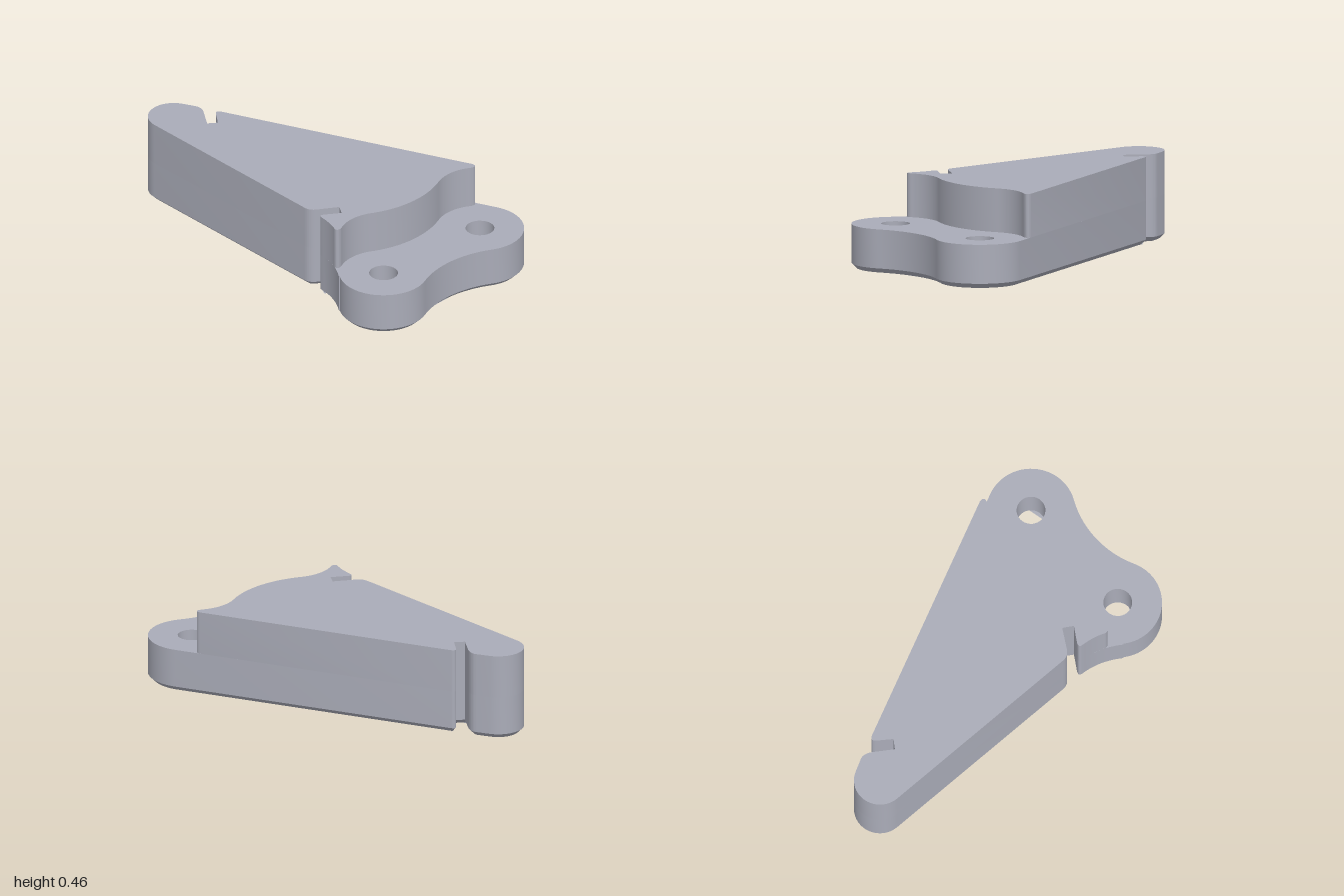
import * as THREE from 'three';
import { toCreasedNormals } from 'three/addons/utils/BufferGeometryUtils.js';

const STEP = 0.23, TOP = 0.46, CHAMFER = 0.025;
const LOBE_X = 0.34, LOBE_Z = 0.767, LOBE_R = 0.23;
const WAIST_R = 0.5325, WAIST_OFFSET = 0.6825;
const rad = THREE.MathUtils.degToRad;

// Shapes are drawn in plan as (x, -z), counter-clockwise.
// Slanted side, notched tip, long side and second notch, shared by both levels
function traceArm(s) {
  s.lineTo(-0.106, 0.73);
  s.quadraticCurveTo(-0.122, 0.762, -0.143, 0.735);
  s.lineTo(-0.196, 0.661);
  s.lineTo(-0.243, 0.693);
  s.lineTo(-0.185, 0.78);
  s.quadraticCurveTo(-0.148, 0.83, -0.168, 0.865);
  s.absarc(-0.32, 0.865, 0.135, rad(28), Math.PI, false);
  s.lineTo(-0.455, -0.285);
  s.quadraticCurveTo(-0.455, -0.325, -0.418, -0.344);
  s.lineTo(-0.317, -0.402);
  s.lineTo(-0.349, -0.455);
  s.lineTo(-0.43, -0.405);
  s.quadraticCurveTo(-0.455, -0.392, -0.457, -0.42);
}

// Drop nearly coincident points, including the closing one
function clean(points) {
  const out = [];
  for (const p of points) {
    if (!out.length || p.distanceTo(out[out.length - 1]) > 0.004) out.push(p);
  }
  while (out[0].distanceTo(out[out.length - 1]) < 0.004) out.pop();
  return out;
}

function baseContour() {
  const s = new THREE.Shape();
  s.moveTo(-0.534, -0.635);
  s.absarc(-LOBE_X, -LOBE_Z, LOBE_R, rad(146), rad(296.5), false);
  s.absarc(0, -LOBE_Z - WAIST_OFFSET, WAIST_R, rad(116.5), rad(63.5), true);
  s.absarc(LOBE_X, -LOBE_Z, LOBE_R, rad(243.5), rad(384.8), false);
  traceArm(s);
  s.quadraticCurveTo(-0.462, -0.53, -0.534, -0.635);
  return clean(s.getPoints(12));
}

function upperContour() {
  const s = new THREE.Shape();
  s.moveTo(-0.488, -0.553);
  s.quadraticCurveTo(-0.488, -0.58, -0.455, -0.568);
  s.absarc(-LOBE_X, -LOBE_Z, LOBE_R, rad(120), rad(63.5), true);
  s.absarc(0, -LOBE_Z + WAIST_OFFSET, WAIST_R, rad(243.5), rad(296.5), false);
  s.absarc(LOBE_X, -LOBE_Z, LOBE_R, rad(116.5), rad(60), true);
  s.quadraticCurveTo(0.5, -0.585, 0.49, -0.545);
  traceArm(s);
  s.quadraticCurveTo(-0.463, -0.5, -0.488, -0.553);
  return clean(s.getPoints(12));
}

// Clockwise bolt hole
function holeContour(x) {
  const p = new THREE.Path();
  p.absarc(x, -LOBE_Z, 0.075, 0, Math.PI * 2, true);
  return clean(p.getPoints(16));
}

// Upright slab between two heights
function slab(contour, holes, y0, y1) {
  const shape = new THREE.Shape(contour);
  shape.holes = holes.map((h) => new THREE.Path(h));
  const g = new THREE.ExtrudeGeometry(shape, { depth: y1 - y0, bevelEnabled: false });
  g.rotateX(-Math.PI / 2).translate(0, y0, 0);
  return toCreasedNormals(g, 0.5);
}

// Move a loop toward the material, which lies on its left
function inset(loop, d) {
  const n = loop.length;
  const normal = (a, b) => new THREE.Vector2(a.y - b.y, b.x - a.x).normalize();
  return loop.map((p, i) => {
    const n1 = normal(loop[(i + n - 1) % n], p);
    const n2 = normal(p, loop[(i + 1) % n]);
    const k = d / Math.max(0.4, 1 + n1.dot(n2));
    return p.clone().addScaledVector(n1.add(n2), k);
  });
}

// Sloped band around every lower edge, with the underside
function chamferedFoot(contour, holes) {
  const loops = [contour, ...holes];
  const pos = [];
  const add = (p, y) => pos.push(p.x, y, -p.y);
  const bottom = [];
  for (const loop of loops) {
    const low = inset(loop, CHAMFER);
    bottom.push(...low);
    loop.forEach((p, i) => {
      const j = (i + 1) % loop.length;
      add(low[i], 0); add(low[j], 0); add(loop[j], CHAMFER);
      add(low[i], 0); add(loop[j], CHAMFER); add(p, CHAMFER);
    });
  }
  for (const [a, b, c] of THREE.ShapeUtils.triangulateShape(contour, holes)) {
    add(bottom[a], 0); add(bottom[c], 0); add(bottom[b], 0);
  }
  const g = new THREE.BufferGeometry();
  g.setAttribute('position', new THREE.Float32BufferAttribute(pos, 3));
  return toCreasedNormals(g, 0.5);
}

export function createModel() {
  const metal = new THREE.MeshStandardMaterial({ color: 0xaaacb8 });
  metal.name = 'greyMetal';
  const model = new THREE.Group();
  model.name = 'bracket';
  const add = (name, geometry) => {
    const mesh = new THREE.Mesh(geometry, metal);
    mesh.name = name;
    model.add(mesh);
  };

  const base = baseContour();
  const holes = [-LOBE_X, LOBE_X].map(holeContour);
  add('chamferedFoot', chamferedFoot(base, holes));
  add('basePlate', slab(base, holes, CHAMFER, STEP));
  add('raisedArm', slab(upperContour(), [], STEP, TOP));
  return model;
}
